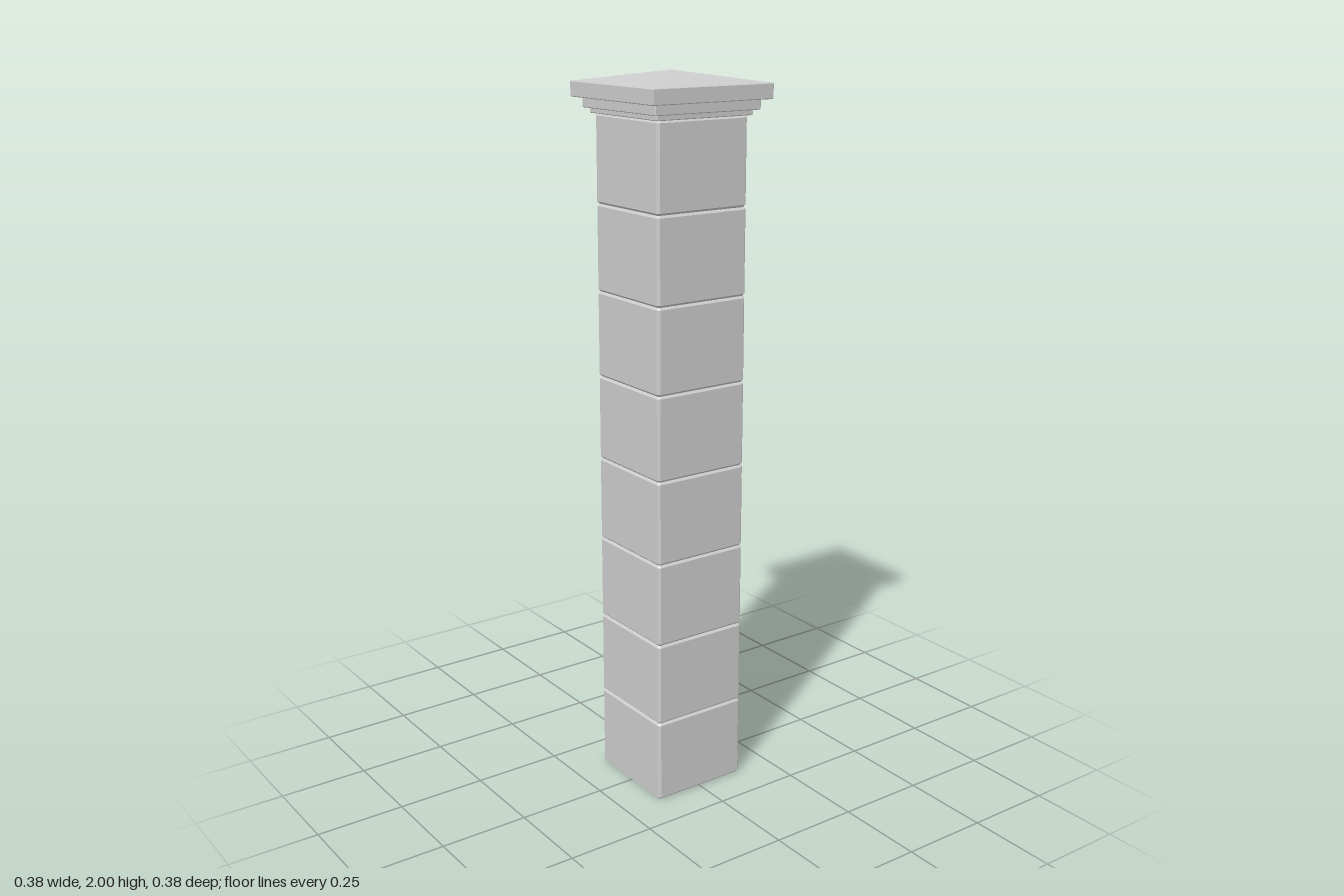
import * as THREE from 'three';

const material = new THREE.MeshStandardMaterial({ color: 0xcccccc, flatShading: true });

// Square block with all edges chamfered, from height y0 to y1
function chamferedBlock(name, half, y0, y1, c) {
  const a = half - c; // outline before the bevel grows it
  const b = a - c * 0.6; // where the cut corner begins
  const shape = new THREE.Shape([
    [a, -b], [a, b], [b, a], [-b, a], [-a, b], [-a, -b], [-b, -a], [b, -a],
  ].map(([x, y]) => new THREE.Vector2(x, y)));
  const geometry = new THREE.ExtrudeGeometry(shape, {
    depth: y1 - y0 - 2 * c, bevelEnabled: true,
    bevelThickness: c, bevelSize: c, bevelSegments: 1,
  });
  geometry.rotateX(-Math.PI / 2).translate(0, y0 + c, 0);
  const mesh = new THREE.Mesh(geometry, material);
  mesh.name = name;
  return mesh;
}

export function createModel() {
  const pillar = new THREE.Group();
  pillar.name = 'pillar';

  // Shaft of eight stacked blocks with V-shaped joints
  const count = 8, shaftTop = 1.888, step = shaftTop / count;
  for (let i = 0; i < count; i++) {
    pillar.add(chamferedBlock(`shaftBlock${i + 1}`, 0.143, i * step, (i + 1) * step, 0.006));
  }

  // Stepped mouldings under the cap
  pillar.add(chamferedBlock('lowerMoulding', 0.152, shaftTop, 1.904, 0.002));
  pillar.add(chamferedBlock('upperMoulding', 0.166, 1.902, 1.93, 0.002));

  // Cap slab and its shallow pyramid
  pillar.add(chamferedBlock('capSlab', 0.189, 1.929, 1.97, 0.002));
  const roof = new THREE.ConeGeometry(0.188 * Math.SQRT2, 0.031, 4, 1, true);
  roof.rotateY(Math.PI / 4).translate(0, 1.9845, 0);
  const capPyramid = new THREE.Mesh(roof, material);
  capPyramid.name = 'capPyramid';
  pillar.add(capPyramid);

  return pillar;
}
